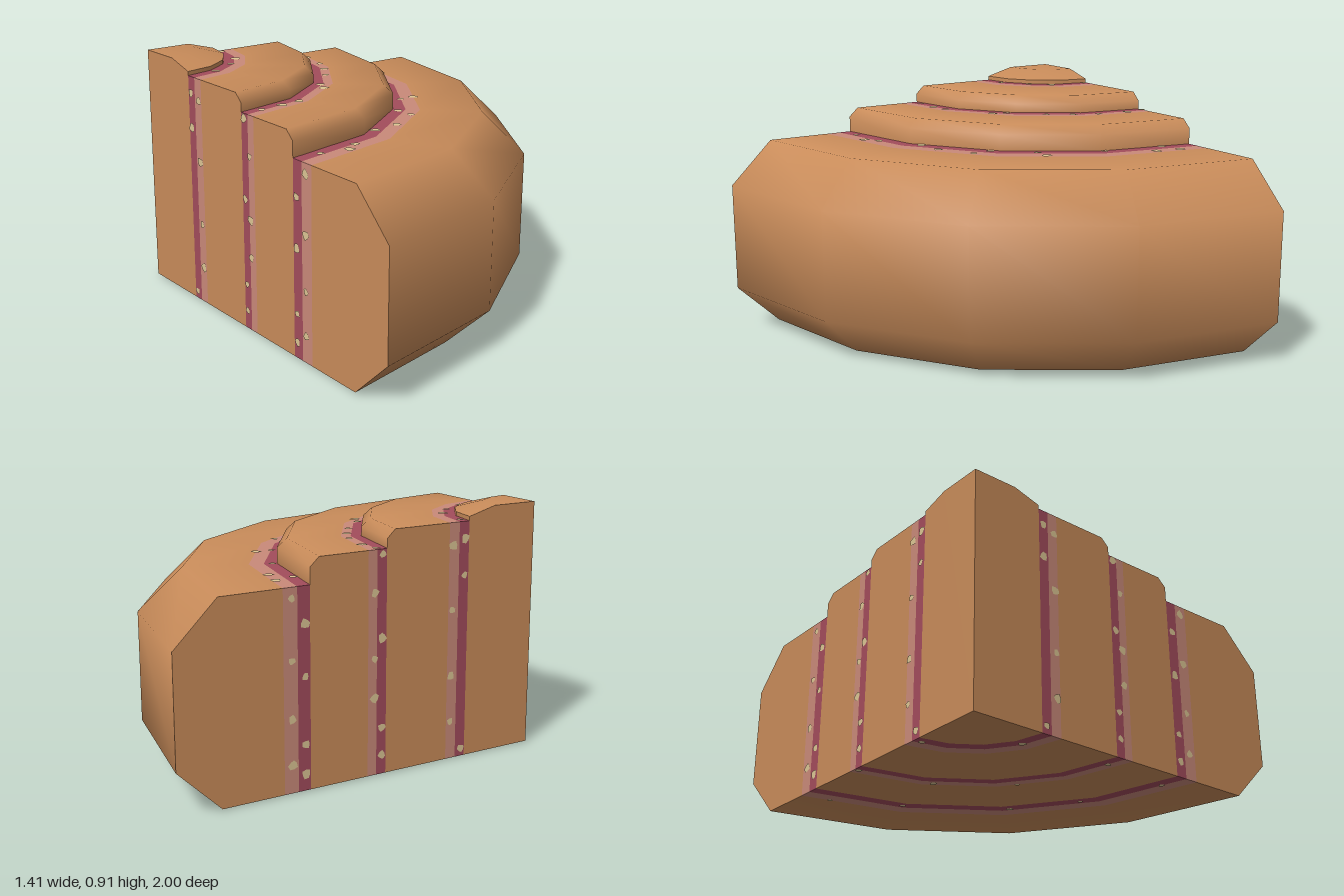
import * as THREE from 'three';
import { toCreasedNormals } from 'three/addons/utils/BufferGeometryUtils.js';

const APEX = -0.707, HALF = Math.PI / 4, SEGS = 4;

const material = (name, color) => {
  const m = new THREE.MeshStandardMaterial({ color });
  m.name = name;
  return m;
};

// Point at radius r and height y on the wedge, at angle a
const at = (r, y, a) => [APEX + r * Math.cos(a), y, r * Math.sin(a)];

// One ring of the slice: bottom profile runs outward, top profile runs inward.
// The outermost ring joins both into one outline; inner rings need no side wall.
function ringGeometry(bottom, top, closed) {
  const pos = [];
  const tri = (...pts) => pts.forEach((p) => pos.push(...p));
  const outline = [...bottom, ...top];
  const chains = closed ? [outline] : [bottom, top];
  for (const chain of chains) {
    for (let k = 0; k < chain.length - 1; k++) {
      const [p, q] = [chain[k], chain[k + 1]];
      for (let j = 0; j < SEGS; j++) {
        const a = -HALF + (j / SEGS) * 2 * HALF, b = a + (2 * HALF) / SEGS;
        if (q[0] > 0) tri(at(...p, a), at(...q, a), at(...q, b));
        if (p[0] > 0) tri(at(...p, a), at(...q, b), at(...p, b));
      }
    }
  }
  // Flat cut faces on both sides of the wedge
  const contour = outline.map(([r, y]) => new THREE.Vector2(r, y));
  for (const [i, j, k] of THREE.ShapeUtils.triangulateShape(contour, [])) {
    tri(at(...outline[i], HALF), at(...outline[j], HALF), at(...outline[k], HALF));
    tri(at(...outline[k], -HALF), at(...outline[j], -HALF), at(...outline[i], -HALF));
  }
  const g = new THREE.BufferGeometry();
  g.setAttribute('position', new THREE.Float32BufferAttribute(pos, 3));
  return toCreasedNormals(g, 0.9);
}

export function createModel() {
  const group = new THREE.Group();
  const dough = material('dough', 0xc98c5a);
  const jam = material('jam', 0xa34c5c);
  const soaked = material('soakedDough', 0xca8a7a);
  const nut = material('nut', 0xdcc694);

  const ring = (name, mat, bottom, top, closed = false) => {
    const mesh = new THREE.Mesh(ringGeometry(bottom, top, closed), mat);
    mesh.name = name;
    group.add(mesh);
  };

  // Dough layers, stepping down from the centre
  ring('innerDough', dough, [[0, 0], [0.287, 0]],
    [[0.287, 0.86], [0.287, 0.875], [0.177, 0.905], [0, 0.905]]);
  ring('secondDough', dough, [[0.37, 0], [0.627, 0]],
    [[0.627, 0.797], [0.627, 0.83], [0.595, 0.86], [0.37, 0.86]]);
  ring('thirdDough', dough, [[0.7, 0], [0.925, 0]],
    [[0.925, 0.707], [0.925, 0.765], [0.89, 0.797], [0.7, 0.797]]);
  ring('outerDough', dough, [[1.025, 0], [1.255, 0], [1.414, 0.155]],
    [[1.414, 0.552], [1.255, 0.707], [1.025, 0.707]], true);

  // Jam bands with a paler soaked edge: inner, middle and outer radius, height
  for (const [r0, r1, r2, h] of [
    [0.287, 0.328, 0.37, 0.86], [0.627, 0.665, 0.7, 0.797], [0.925, 0.972, 1.025, 0.707],
  ]) {
    ring('jamBand', jam, [[r0, 0], [r1, 0]], [[r1, h], [r0, h]]);
    ring('soakedBand', soaked, [[r1, 0], [r2, 0]], [[r2, h], [r1, h]]);
  }

  // Thin irregular nut pieces
  const nutShape = new THREE.Shape();
  [1, 0.8, 1.1, 0.85, 1, 0.75, 1.05].forEach((s, i) => {
    const a = (i / 7) * Math.PI * 2;
    nutShape[i ? 'lineTo' : 'moveTo'](s * Math.cos(a), s * Math.sin(a));
  });
  const nutGeometry = new THREE.ShapeGeometry(nutShape);
  let count = 0;
  const addNut = (p, normal, size) => {
    const mesh = new THREE.Mesh(nutGeometry, nut);
    mesh.name = 'nutPiece';
    mesh.position.set(...p).addScaledVector(normal, 0.003);
    mesh.quaternion.setFromUnitVectors(new THREE.Vector3(0, 0, 1), normal);
    mesh.rotateZ(count * 1.7);
    mesh.scale.setScalar(size * (0.85 + 0.15 * (count++ % 3)));
    group.add(mesh);
  };

  // Nuts on the top and underside: x, z
  const up = new THREE.Vector3(0, 1, 0), down = new THREE.Vector3(0, -1, 0);
  const flatNuts = [
    [0.86, [[-0.47, -0.2], [-0.39, -0.08], [-0.39, 0.01], [-0.42, 0.13]]],
    [0.797, [[-0.23, -0.46], [-0.17, -0.41], [-0.1, -0.31], [-0.07, -0.22], [-0.05, -0.12],
      [-0.05, 0.03], [-0.03, 0.08], [-0.09, 0.28], [-0.14, 0.34], [-0.2, 0.41]]],
    [0.707, [[0.07, -0.63], [0.03, -0.56], [0.12, -0.55], [0.16, -0.37], [0.28, -0.18],
      [0.235, -0.14], [0.24, 0.03], [0.29, 0.08], [0.25, 0.22], [0.18, 0.3],
      [0.13, 0.48], [0.12, 0.54], [0.03, 0.6]]],
  ];
  for (const [h, spots] of flatNuts) {
    spots.forEach(([x, z], i) => {
      addNut([x, h, z], up, 0.018);
      if (i % 3 === 0) addNut([x, 0, z], down, 0.013);
    });
  }

  // Nuts on both cut faces: radius, heights
  const cutNuts = [
    [0.305, [0.67, 0.03, 0.8]], [0.355, [0.55, 0.31, 0.78, 0.14]],
    [0.645, [0.17, 0.49, 0.78, 0.07]], [0.675, [0.28, 0.42, 0.65]],
    [0.945, [0.58, 0.4, 0.165, 0.06]], [0.995, [0.46, 0.26, 0.1, 0.67]],
  ];
  for (const side of [1, -1]) {
    const normal = new THREE.Vector3(-Math.SQRT1_2, 0, side * Math.SQRT1_2);
    for (const [r, heights] of cutNuts) {
      heights.forEach((y) => addNut(at(r, y, side * HALF), normal, 0.016));
    }
  }
  return group;
}
